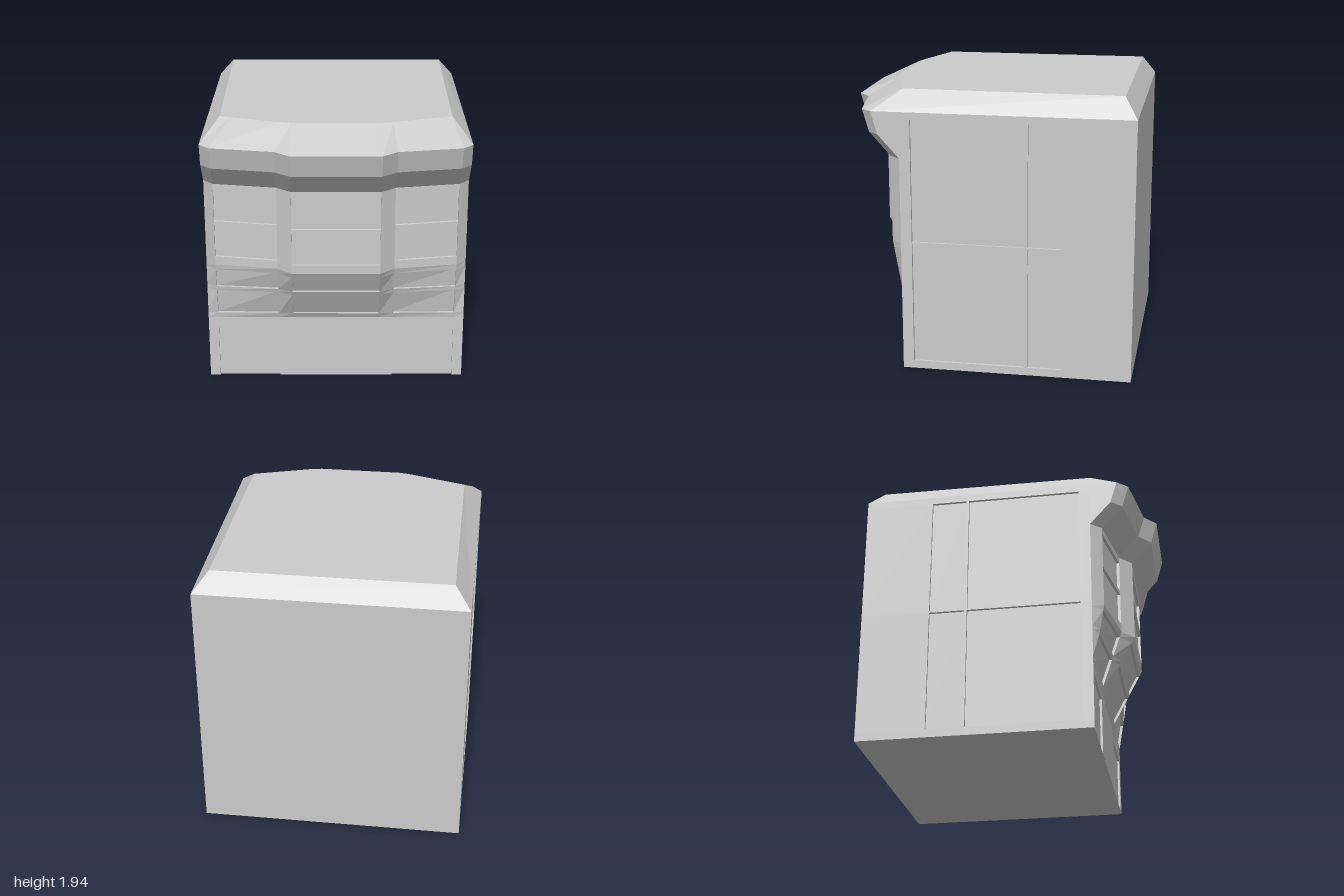
import * as THREE from 'three';

const material = new THREE.MeshStandardMaterial({ color: 0xcccccc, flatShading: true });
const WALL_Z = 0.575, HALF = 0.9, BACK = -1, EAVE = 1.805, TOP = 1.94;

// Mesh from a list of four-cornered faces, counter-clockwise from outside
function quadMesh(name, quads) {
  const pos = [];
  for (const [a, b, c, d] of quads) pos.push(...a, ...b, ...c, ...a, ...c, ...d);
  const g = new THREE.BufferGeometry();
  g.setAttribute('position', new THREE.Float32BufferAttribute(pos, 3));
  g.computeVertexNormals();
  const mesh = new THREE.Mesh(g, material);
  mesh.name = name;
  return mesh;
}

// Wall split into cells; some cells are sunk by depth(u, v) and get reveals
function panelWall(name, us, vs, depth, map) {
  const quads = [];
  const cell = (i, j) => depth((us[i] + us[i + 1]) / 2, (vs[j] + vs[j + 1]) / 2);
  for (let i = 0; i < us.length - 1; i++) {
    for (let j = 0; j < vs.length - 1; j++) {
      const [u0, u1, v0, v1, d] = [us[i], us[i + 1], vs[j], vs[j + 1], cell(i, j)];
      quads.push([map(u0, v0, d), map(u1, v0, d), map(u1, v1, d), map(u0, v1, d)]);
      if (i < us.length - 2) {
        const e = cell(i + 1, j);
        if (e !== d) quads.push([map(u1, v0, d), map(u1, v0, e), map(u1, v1, e), map(u1, v1, d)]);
      }
      if (j < vs.length - 2) {
        const e = cell(i, j + 1);
        if (e !== d) quads.push([map(u0, v1, e), map(u0, v1, d), map(u1, v1, d), map(u1, v1, e)]);
      }
    }
  }
  return quadMesh(name, quads);
}

// Piecewise linear lookup
function lerpTable(table, t) {
  for (let i = 1; i < table.length; i++) {
    const [a, va] = table[i - 1], [b, vb] = table[i];
    if (t <= b) return va + (vb - va) * Math.max(0, t - a) / (b - a);
  }
  return table[table.length - 1][1];
}

// Front surface: bay plan scaled by height, plus cornice overhang
const bayPlan = [[0, 0.235], [0.3, 0.235], [0.4, 0.15], [0.83, 0.075], [HALF, 0]];
const bayScale = [[0, 0], [0.46, 0], [0.9, 1], [EAVE, 1]];
const overhang = [[0, 0], [1.49, 0], [1.65, 0.145], [EAVE, 0.19]];
const frontZ = (x, y) =>
  WALL_Z + lerpTable(bayPlan, Math.abs(x)) * lerpTable(bayScale, y) + lerpTable(overhang, y);

const between = (t, a, b) => t > a && t < b;

export function createModel() {
  const model = new THREE.Group();
  model.name = 'building';

  // Front: shopfront with two doors, bay windows, cornice
  const xs = [-HALF, -0.83, -0.4, -0.3, 0.3, 0.4, 0.83, HALF];
  const frontMap = (x, y, d) => [x, y, frontZ(x, y) - d];
  const isBay = x => Math.abs(x) < 0.3 || between(Math.abs(x), 0.4, 0.83);
  const panes = [[0.5, 0.69], [0.72, 0.86], [0.96, 1.19], [1.22, 1.445]];
  model.add(panelWall('shopfront', xs, [0, 0.4, 0.46],
    (x, y) => (between(Math.abs(x), 0.4, 0.83) && y < 0.4 ? 0.015 : 0), frontMap));
  model.add(panelWall('bayWindows', xs, [0.46, ...panes[0], ...panes[1], 0.9, ...panes[2], ...panes[3], 1.49],
    (x, y) => (isBay(x) && panes.some(p => between(y, ...p)) ? 0.02 : 0), frontMap));
  model.add(panelWall('cornice', xs, [1.49, 1.65, EAVE], () => 0, frontMap));

  // Side walls with four sunk panes, and the cornice ends
  const zs = [BACK, -0.53, -0.29, -0.27, 0.5, WALL_Z];
  const ys = [0, 0.055, 0.9, 0.912, 1.755, EAVE];
  const isPane = (z, y) => between(z, -0.53, 0.5) && !between(z, -0.29, -0.27)
    && between(y, 0.055, 1.755) && !between(y, 0.9, 0.912);
  for (const s of [1, -1]) {
    const side = s > 0 ? 'left' : 'right';
    const us = s > 0 ? zs.map(z => -z).reverse() : zs;
    model.add(panelWall(side + 'Wall', us, ys,
      (u, y) => (isPane(-s * u, y) ? 0.02 : 0), (u, y, d) => [s * (HALF - d), y, -s * u]));
    const end = [[WALL_Z, 1.49], [WALL_Z, EAVE], [frontZ(HALF, EAVE), EAVE], [frontZ(HALF, 1.65), 1.65]]
      .map(([z, y]) => [s * HALF, y, z]);
    model.add(quadMesh(side + 'CorniceEnd', [s > 0 ? end : end.reverse()]));
  }

  // Back wall and base
  model.add(quadMesh('backWall', [[[HALF, 0, BACK], [-HALF, 0, BACK], [-HALF, EAVE, BACK], [HALF, EAVE, BACK]]]));
  model.add(quadMesh('base', [[[-HALF, 0, BACK], [HALF, 0, BACK], [HALF, 0, WALL_Z], [-HALF, 0, WALL_Z]]]));

  // Roof: sloped band from the eave outline up to the flat top
  const mirror = pts => [...pts, ...pts.map(([x, z]) => [-x, z]).reverse()];
  const eave = mirror([[-HALF, BACK], ...[-HALF, -0.83, -0.4, -0.3].map(x => [x, frontZ(x, EAVE)])]);
  const ridge = mirror([[-0.79, -0.91], [-0.775, 0.57], [-0.7, 0.595], [-0.38, 0.7], [-0.29, 0.72]]);
  model.add(quadMesh('roofSlope', eave.map((p, i) => {
    const k = (i + 1) % eave.length;
    const low = ([x, z]) => [x, EAVE, z], high = ([x, z]) => [x, TOP, z];
    return [low(p), low(eave[k]), high(ridge[k]), high(ridge[i])];
  })));
  const top = new THREE.ShapeGeometry(new THREE.Shape(ridge.map(([x, z]) => new THREE.Vector2(x, -z))));
  top.rotateX(-Math.PI / 2).translate(0, TOP, 0);
  const roofTop = new THREE.Mesh(top, material);
  roofTop.name = 'roofTop';
  model.add(roofTop);

  return model;
}
